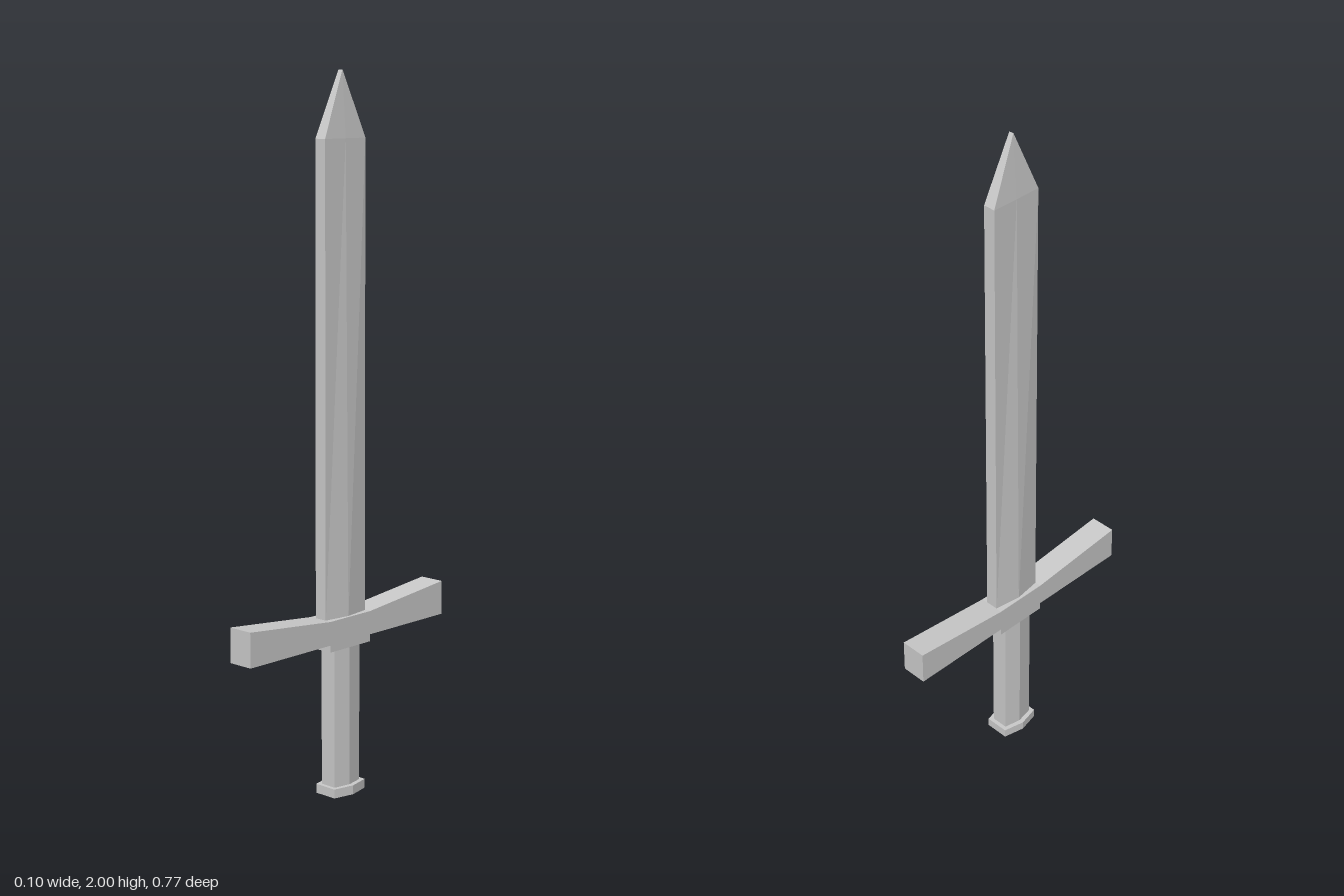
import * as THREE from 'three';

const material = new THREE.MeshStandardMaterial({ color: 0xcccccc, flatShading: true });

// Six-sided section: flat edges at +z and -z, a ridge on each side at z = 0
function section({ y, edge, ridge, depth }) {
  return [
    [edge, y, depth], [ridge, y, 0], [edge, y, -depth],
    [-edge, y, -depth], [-ridge, y, 0], [-edge, y, depth],
  ];
}

// Lofts six-sided sections from bottom to top and caps both ends
function loft(name, sections) {
  const positions = sections.flatMap(section).flat();
  const index = [];
  const top = (sections.length - 1) * 6;
  for (let s = 0; s < sections.length - 1; s++) {
    for (let i = 0; i < 6; i++) {
      const a = s * 6 + i, b = s * 6 + (i + 1) % 6;
      index.push(a, b, b + 6, a, b + 6, a + 6);
    }
  }
  for (let i = 1; i < 5; i++) {
    index.push(0, i + 1, i, top, top + i, top + i + 1);
  }
  const geometry = new THREE.BufferGeometry();
  geometry.setAttribute('position', new THREE.Float32BufferAttribute(positions, 3));
  geometry.setIndex(index);
  const flat = geometry.toNonIndexed();
  flat.computeVertexNormals();
  const mesh = new THREE.Mesh(flat, material);
  mesh.name = name;
  return mesh;
}

// Crossguard: side outline (z, y) extruded across x
function crossguard() {
  const half = [[0.08, 0.425], [0.08, 0.445], [0.385, 0.445], [0.385, 0.543], [0.08, 0.512]];
  const mirrored = half.map(([z, y]) => [-z, y]).reverse();
  const shape = new THREE.Shape([...half, ...mirrored].map(([z, y]) => new THREE.Vector2(z, y)));
  const width = 0.076;
  const geometry = new THREE.ExtrudeGeometry(shape, { depth: width, bevelEnabled: false });
  geometry.translate(0, 0, -width / 2);
  geometry.rotateY(-Math.PI / 2);
  const mesh = new THREE.Mesh(geometry, material);
  mesh.name = 'crossguard';
  return mesh;
}

export function createModel() {
  const sword = new THREE.Group();
  sword.name = 'sword';

  sword.add(
    // Blade narrows towards the top, then closes to a short edge
    loft('blade', [
      { y: 0.5, edge: 0.019, ridge: 0.03, depth: 0.079 },
      { y: 1.82, edge: 0.018, ridge: 0.019, depth: 0.078 },
      { y: 2, edge: 0.007, ridge: 0.007, depth: 0.0005 },
    ]),
    crossguard(),
    loft('grip', [
      { y: 0.02, edge: 0.025, ridge: 0.035, depth: 0.05 },
      { y: 0.44, edge: 0.025, ridge: 0.035, depth: 0.05 },
    ]),
    loft('pommel', [
      { y: 0, edge: 0.035, ridge: 0.049, depth: 0.062 },
      { y: 0.026, edge: 0.035, ridge: 0.049, depth: 0.062 },
    ]),
  );
  return sword;
}
